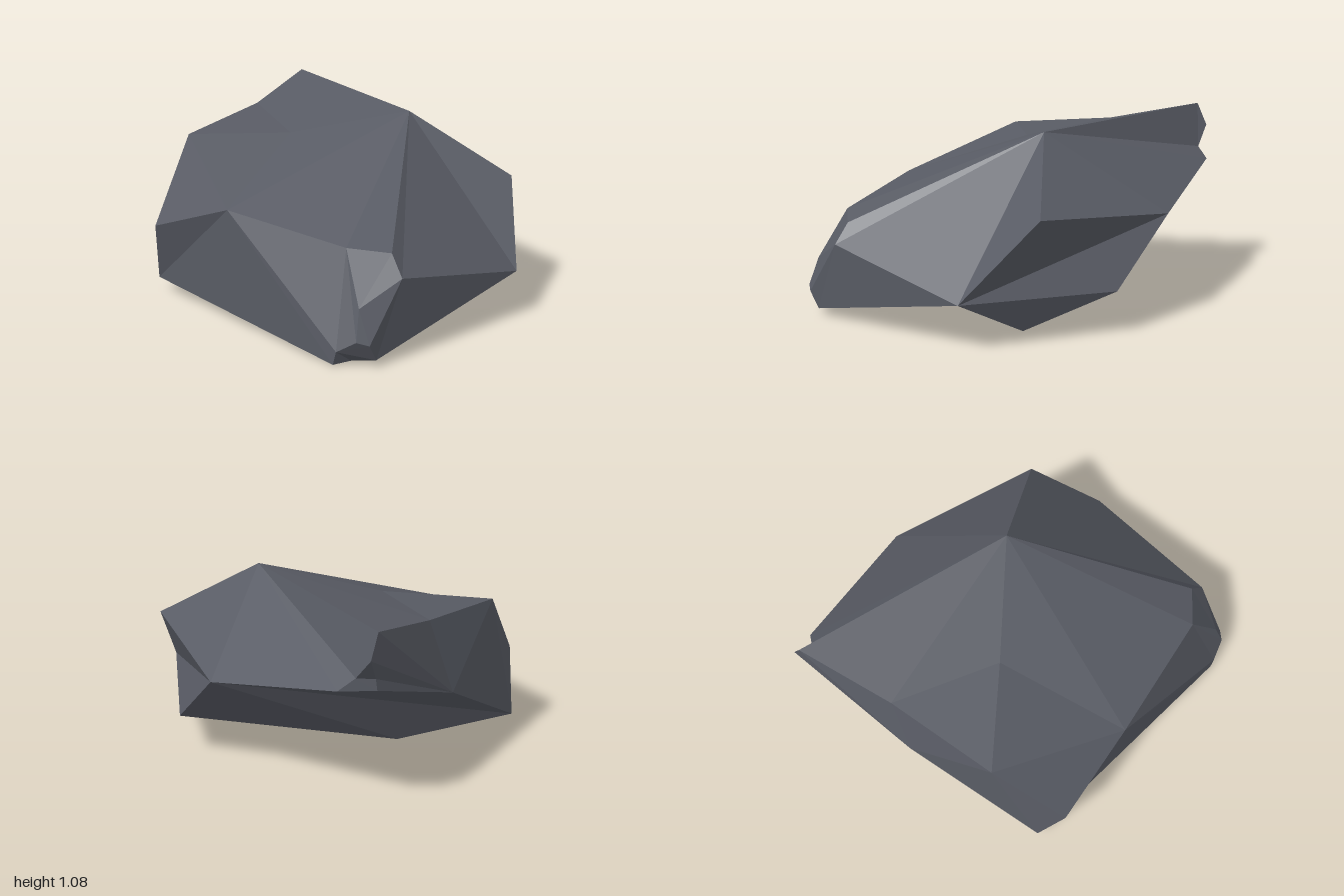
import * as THREE from 'three';

// Named corners of the boulder
const P = {
  // crown
  peak: [0.2, 1.05, -0.31], dip: [-0.4, 0.91, 0.04], rim: [-0.92, 0.96, -0.31],
  shoulder: [-0.93, 0.89, 0.34], horn: [-0.97, 1.08, -0.86],
  // back
  ridge: [0.77, 0.7, -0.52], back: [0, 0.61, -0.97], heel: [0.38, 0.25, -0.81],
  hornLow: [-0.97, 0.95, -0.92], notchA: [-0.87, 0.83, -0.9], notchB: [-0.94, 0.82, -0.83],
  ledgeA: [-0.81, 0.77, -0.97], ledgeB: [-0.95, 0.76, -0.83],
  // sides and front
  tip: [1, 0.27, -0.16], side: [-1, 0.53, -0.18], brow: [-0.28, 0.65, 0.79],
  cheek: [-0.84, 0.45, 0.76], foot: [-0.94, 0.08, 0.64],
  // bevelled front corner
  c1: [0.69, 0.555, 0.66], c2: [0.775, 0.445, 0.695], c3: [0.49, 0.58, 0.78],
  c4: [0.64, 0.315, 0.89], c5: [0.66, 0.155, 0.945], c6: [0.715, 0.135, 0.905],
  c7: [0.72, 0.04, 0.85], c8: [0.55, 0.085, 0.965], c9: [0.53, 0.01, 0.965], c10: [0.58, 0.01, 0.87],
  // underside
  base: [-0.49, 0, 0.09], belly: [0.02, 0.03, 0.32], keel: [0.685, 0.065, -0.39],
};

// Facets as corner loops, counter-clockwise from outside
const FACETS = {
  crown: [
    'peak tip ridge', 'peak ridge back', 'peak back ledgeA', 'peak ledgeA notchA',
    'peak notchA horn', 'horn notchA hornLow', 'peak horn rim', 'peak rim dip', 'peak dip brow',
    'peak brow c3', 'peak c3 c1', 'peak c1 c2', 'peak c2 tip', 'dip rim shoulder', 'dip shoulder brow',
  ],
  front: [
    'brow shoulder cheek', 'brow cheek foot', 'brow foot c9', 'brow c9 c8', 'brow c8 c3',
    'c3 c8 c5', 'c3 c5 c4', 'c3 c4 c1', 'c1 c4 c2', 'c4 c5 c6', 'c4 c6 c2',
    'c2 c6 c7', 'c2 c7 tip', 'c8 c9 c10 c7 c6 c5',
  ],
  side: [
    'cheek shoulder foot', 'side foot shoulder', 'side shoulder rim', 'side rim horn',
    'side horn hornLow', 'side hornLow notchB', 'side notchB ledgeB', 'hornLow notchA notchB',
    'notchA ledgeA ledgeB notchB',
  ],
  back: ['ledgeA back ledgeB', 'side ledgeB back', 'side back foot', 'ridge tip back', 'heel back tip'],
  underside: [
    'foot back base', 'base back heel', 'heel tip keel', 'heel keel base', 'base keel tip',
    'base tip belly', 'tip c7 belly', 'belly c7 c10', 'belly c10 c9', 'belly c9 foot', 'belly foot base',
  ],
};

// Fan each loop into unshared triangles so that every facet stays flat
function facetGeometry(loops) {
  const positions = [];
  for (const loop of loops) {
    const c = loop.split(' ').map((name) => P[name]);
    for (let i = 1; i < c.length - 1; i++) positions.push(...c[0], ...c[i], ...c[i + 1]);
  }
  const geometry = new THREE.BufferGeometry();
  geometry.setAttribute('position', new THREE.Float32BufferAttribute(positions, 3));
  geometry.computeVertexNormals();
  return geometry;
}

export function createModel() {
  const stone = new THREE.MeshStandardMaterial({ color: 0x585b64 });
  stone.name = 'slate grey stone';
  stone.flatShading = true;

  const rock = new THREE.Group();
  rock.name = 'rock';
  for (const [name, loops] of Object.entries(FACETS)) {
    const mesh = new THREE.Mesh(facetGeometry(loops), stone);
    mesh.name = name;
    rock.add(mesh);
  }
  return rock;
}
